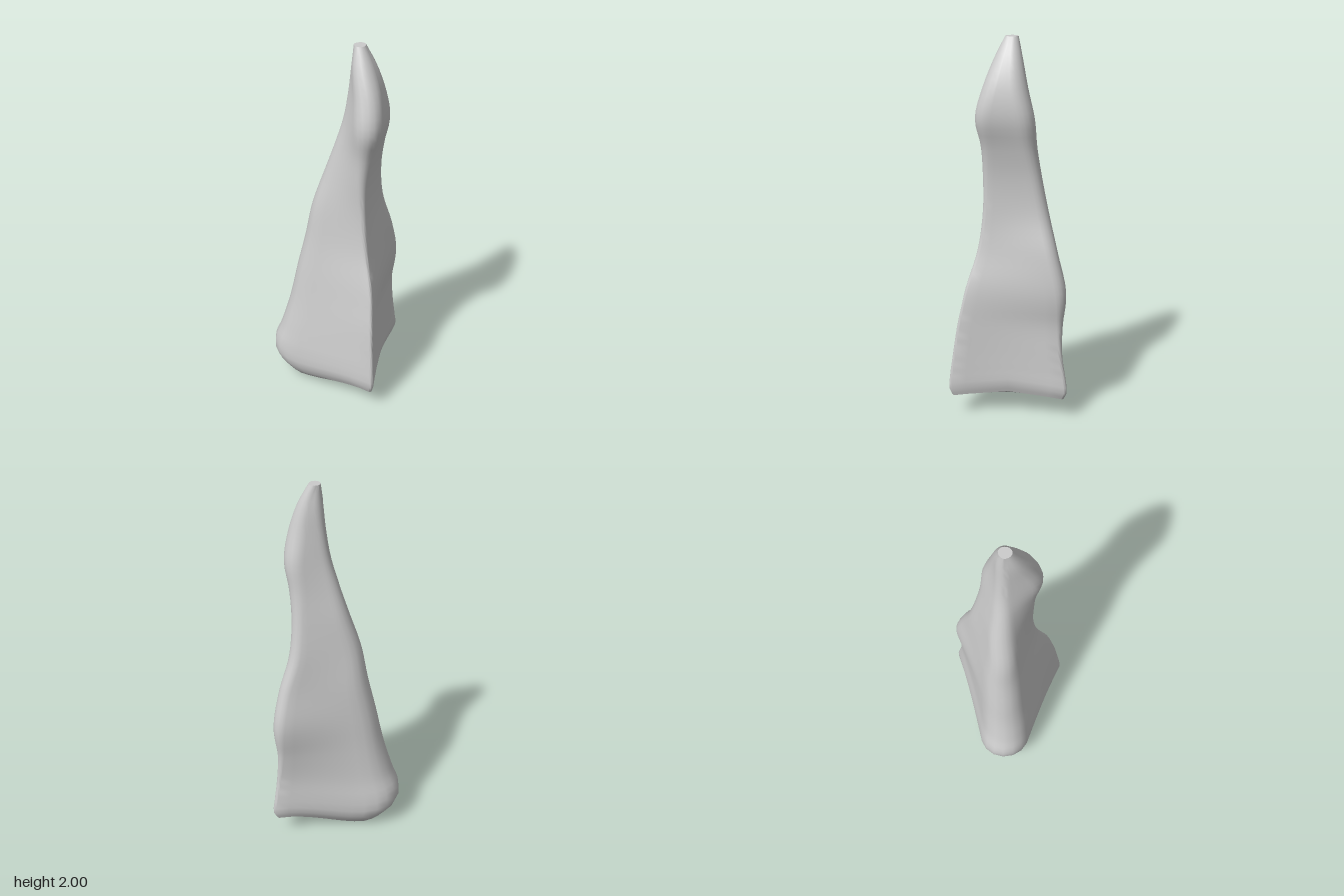
import * as THREE from 'three';
import { toCreasedNormals } from 'three/addons/utils/BufferGeometryUtils.js';

// Rounded-triangle sections of the shard, from foot to tip:
// height, round edge (x, radius, z), front edge (x, z, radius), back edge (x, z, radius)
const SECTIONS = [
  [0.00, -0.220, 0.120, 0.03, 0.300, 0.295, 0.012, 0.300, -0.295, 0.012],
  [0.05, -0.300, 0.140, 0.03, 0.310, 0.312, 0.015, 0.315, -0.312, 0.015],
  [0.14, -0.317, 0.140, 0.03, 0.308, 0.308, 0.015, 0.310, -0.305, 0.015],
  [0.30, -0.275, 0.130, 0.03, 0.300, 0.290, 0.015, 0.300, -0.285, 0.020],
  [0.50, -0.225, 0.120, 0.02, 0.290, 0.265, 0.015, 0.293, -0.285, 0.030],
  [0.70, -0.185, 0.110, 0.01, 0.275, 0.225, 0.015, 0.312, -0.300, 0.050],
  [0.90, -0.140, 0.100, 0.00, 0.235, 0.165, 0.020, 0.290, -0.255, 0.050],
  [1.10, -0.100, 0.080, 0.00, 0.215, 0.138, 0.025, 0.245, -0.205, 0.050],
  [1.30, -0.035, 0.070, -0.01, 0.215, 0.137, 0.035, 0.240, -0.165, 0.050],
  [1.45, 0.015, 0.060, -0.01, 0.240, 0.145, 0.050, 0.260, -0.142, 0.060],
  [1.60, 0.060, 0.055, -0.01, 0.280, 0.172, 0.070, 0.290, -0.130, 0.070],
  [1.75, 0.085, 0.050, -0.01, 0.270, 0.135, 0.070, 0.275, -0.095, 0.070],
  [1.90, 0.100, 0.045, -0.01, 0.220, 0.075, 0.055, 0.225, -0.065, 0.050],
  [2.00, 0.110, 0.028, -0.01, 0.170, 0.025, 0.028, 0.170, -0.042, 0.028],
];
const ARC = 6, SIDE = 8;

// Smooth blend of the section table over height
const blend = new THREE.CubicInterpolant(
  SECTIONS.map((s) => s[0]), SECTIONS.flatMap((s) => s.slice(1)), 9);

// Outline of three circles joined by their outer tangents, as [x, z] points
function outline(h) {
  const [ax, ar, az, bx, bz, br, cx, cz, cr] = blend.evaluate(h);
  const circles = [
    { x: ax + ar, z: az, r: ar },
    { x: cx - cr, z: cz + cr, r: cr },
    { x: bx - br, z: bz - br, r: br },
  ];
  const normals = circles.map((c, i) => {
    const d = circles[(i + 1) % 3];
    const dx = d.x - c.x, dz = d.z - c.z;
    const ratio = THREE.MathUtils.clamp((c.r - d.r) / Math.hypot(dx, dz), -1, 1);
    return Math.atan2(dz, dx) - Math.acos(ratio);
  });
  const on = (c, a) => [c.x + c.r * Math.cos(a), c.z + c.r * Math.sin(a)];
  const points = [];
  circles.forEach((c, i) => {
    const start = normals[(i + 2) % 3], end = normals[i];
    let sweep = (end - start) % (2 * Math.PI);
    if (sweep < 0) sweep += 2 * Math.PI;
    for (let k = 0; k <= ARC; k++) points.push(on(c, start + sweep * k / ARC));
    // Faces are slightly hollow between the edges, most on the +x face near the foot
    const p = on(c, end), q = on(circles[(i + 1) % 3], end);
    const hollow = (i === 1 ? 0.02 : 0.008) * Math.max(0, 1 - h / 1.4);
    for (let k = 1; k < SIDE; k++) {
      const t = k / SIDE, dip = hollow * Math.sin(Math.PI * t);
      points.push([
        THREE.MathUtils.lerp(p[0], q[0], t) - dip * Math.cos(end),
        THREE.MathUtils.lerp(p[1], q[1], t) - dip * Math.sin(end),
      ]);
    }
  });
  return points;
}

// Height of the underside: low under the round edge, rising toward +x
function underside(x, z) {
  const u = THREE.MathUtils.clamp((x + 0.1) / 0.41, 0, 1);
  const heel = Math.max(0, (-0.1 - x) / 0.15);
  return 0.155 * u ** 1.6 - 0.045 * u ** 1.6 * Math.abs(z) / 0.3
    + 0.07 * (z / 0.2) ** 2 * (1 - u) + 0.04 * heel ** 2;
}

function scaled(points, s) {
  const cx = points.reduce((sum, p) => sum + p[0], 0) / points.length;
  const cz = points.reduce((sum, p) => sum + p[1], 0) / points.length;
  return points.map(([x, z]) => [cx + (x - cx) * s, cz + (z - cz) * s]);
}

function shardGeometry() {
  const rings = [];
  const addRing = (points, h) => rings.push(points.map(([x, z]) => {
    const lift = h < 0.6 ? underside(x, z) * (1 - h / 0.6) : 0;
    return [x, h + lift, z];
  }));

  // Underside, body, then the small flat tip
  const foot = outline(0), tip = outline(2);
  for (const s of [0, 0.2, 0.4, 0.6, 0.8, 0.92]) addRing(scaled(foot, s), 0);
  for (const h of [0, 0.02, 0.05, 0.09]) addRing(outline(h), h);
  for (let i = 0; i <= 46; i++) {
    const h = 0.14 + 1.86 * i / 46;
    addRing(outline(h), h);
  }
  addRing(scaled(tip, 0), 2);

  const n = foot.length, index = [];
  for (let r = 0; r < rings.length - 1; r++) {
    for (let i = 0; i < n; i++) {
      const a = r * n + i, b = r * n + (i + 1) % n;
      if (r < rings.length - 2) index.push(a, a + n, b + n);
      if (r > 0) index.push(a, b + n, b);
    }
  }
  const geometry = new THREE.BufferGeometry();
  geometry.setAttribute('position', new THREE.Float32BufferAttribute(rings.flat(2), 3));
  geometry.setIndex(index);
  return toCreasedNormals(geometry, 0.7);
}

export function createModel() {
  const group = new THREE.Group();
  group.name = 'shard';
  const body = new THREE.Mesh(
    shardGeometry(), new THREE.MeshStandardMaterial({ color: 0xcccccc }));
  body.name = 'shardBody';
  group.add(body);
  return group;
}
